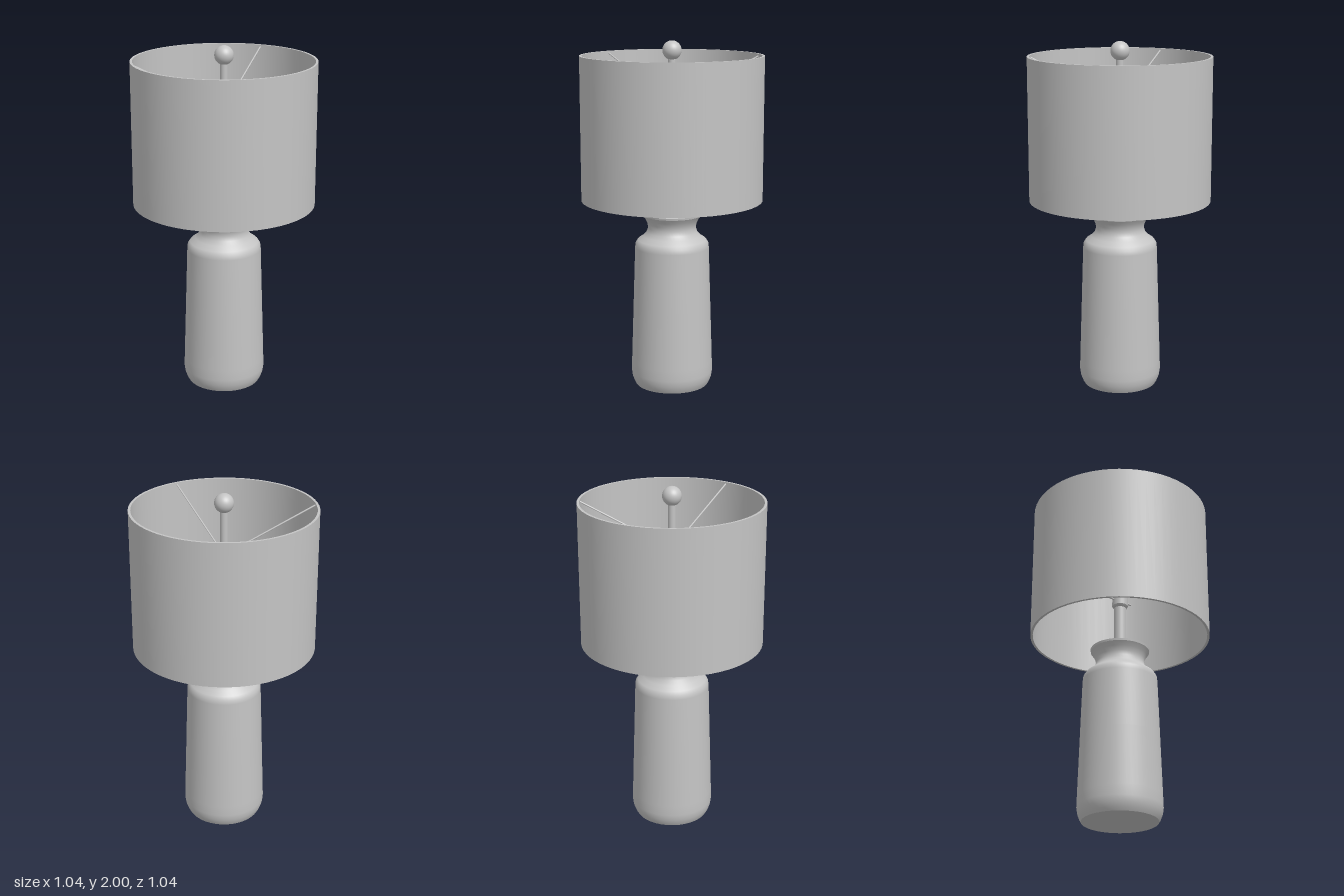
import * as THREE from 'three';

export function createModel() {
  const model = new THREE.Group();
  const grey = new THREE.MeshStandardMaterial({ color: 0xc4c4c4 });
  grey.name = 'light grey';

  const add = (name, geometry, y = 0) => {
    const mesh = new THREE.Mesh(geometry, grey);
    mesh.name = name;
    mesh.position.y = y;
    model.add(mesh);
    return mesh;
  };
  const v2 = (points) => points.map(([x, y]) => new THREE.Vector2(x, y));
  // Revolved part; each run has smooth normals, with crisp edges between runs
  const lathe = (name, runs, sides) =>
    runs.forEach((run) => add(name, new THREE.LatheGeometry(v2(run), sides)));
  // Thin rod between two points
  const rod = (name, a, b, radius) => {
    const dir = new THREE.Vector3().subVectors(b, a);
    const mesh = add(name, new THREE.CylinderGeometry(radius, radius, dir.length(), 8));
    mesh.position.copy(a).lerp(b, 0.5);
    mesh.quaternion.setFromUnitVectors(new THREE.Vector3(0, 1, 0), dir.normalize());
  };

  // Bottle-shaped base with rounded foot, shoulder, pinched neck and flared lip
  lathe('base', [
    [[0, 0], [0.212, 0]],
    [[0.212, 0], [0.222, 0.018], [0.232, 0.045], [0.237, 0.08], [0.235, 0.14],
      [0.224, 0.48], [0.213, 0.82], [0.21, 0.845], [0.197, 0.865], [0.165, 0.887],
      [0.146, 0.91], [0.138, 0.935], [0.141, 0.96], [0.152, 0.985], [0.168, 1.008]],
    [[0.168, 1.008], [0.17, 1.02]],
    [[0.17, 1.02], [0, 1.023]],
  ], 48);

  // Stem: collar, lower tube, lamp socket and slim upper rod
  add('stemCollar', new THREE.CylinderGeometry(0.04, 0.04, 0.025, 24), 1.033);
  add('stem', new THREE.CylinderGeometry(0.036, 0.036, 0.3, 24), 1.17);
  lathe('socket', [
    [[0, 1.29], [0.036, 1.29], [0.046, 1.305]],
    [[0.046, 1.305], [0.046, 1.4]],
    [[0.046, 1.4], [0.023, 1.42]],
  ], 24);
  add('upperRod', new THREE.CylinderGeometry(0.022, 0.022, 0.52, 16), 1.66);
  rod('socketSwitch', new THREE.Vector3(-0.08, 1.34, 0), new THREE.Vector3(0.08, 1.34, 0), 0.005);

  // Ball finial
  add('finial', new THREE.SphereGeometry(0.054, 32, 20), 1.946);

  // Drum shade with a thin wall, open at both ends
  lathe('shade', [
    [[0.518, 1.1], [0.518, 1.918]],
    [[0.518, 1.918], [0.504, 1.918]],
    [[0.504, 1.918], [0.504, 1.1]],
    [[0.504, 1.1], [0.518, 1.1]],
  ], 64);

  // Three spokes sloping from the rim down to a hub on the rod
  add('spokeHub', new THREE.CylinderGeometry(0.03, 0.03, 0.02, 20), 1.645);
  [[-0.05, -0.504], [0.446, 0.238], [-0.392, 0.32]].forEach(([x, z]) =>
    rod('spoke', new THREE.Vector3(0, 1.645, 0), new THREE.Vector3(x, 1.905, z), 0.005));

  return model;
}
